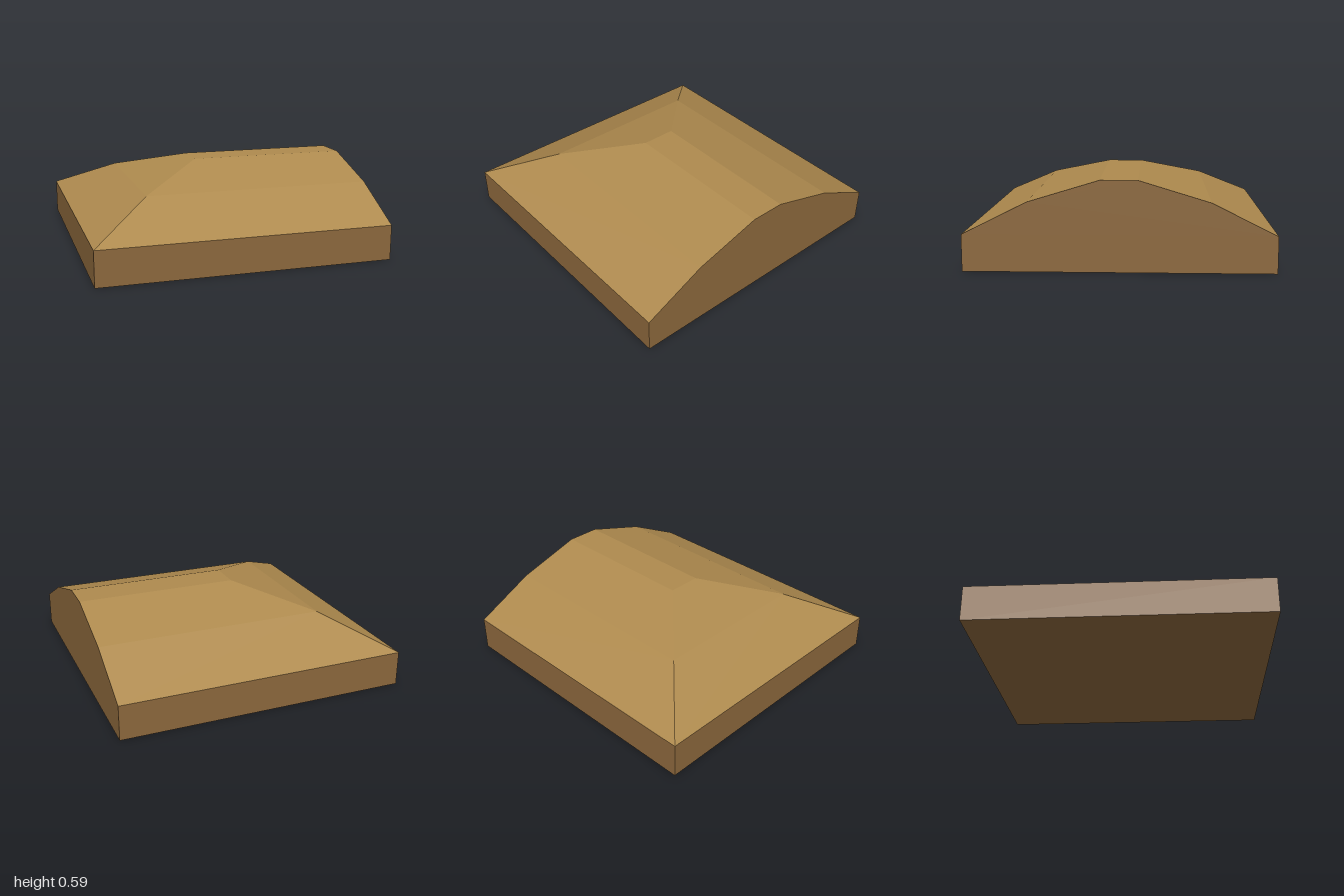
import * as THREE from 'three';

// Roof cross-section: [half width, height], from eave to flat ridge
const PROFILE = [[1, 0.24], [0.58, 0.45], [0.12, 0.59]];

// Non-indexed geometry from quads given counter-clockwise
function quadGeometry(quads) {
  const positions = quads.flatMap(([a, b, c, d]) => [a, b, c, a, c, d].flat());
  const geometry = new THREE.BufferGeometry();
  geometry.setAttribute('position', new THREE.Float32BufferAttribute(positions, 3));
  geometry.computeVertexNormals();
  return geometry;
}

export function createModel() {
  const model = new THREE.Group();
  model.name = 'hippedRoofBlock';

  const roofMaterial = new THREE.MeshStandardMaterial({ color: 0xae8a4e });
  roofMaterial.name = 'tan roof';
  const wallMaterial = new THREE.MeshStandardMaterial({ color: 0x8b673c });
  wallMaterial.name = 'brown wall';

  const add = (name, geometry, material) => {
    const mesh = new THREE.Mesh(geometry, material);
    mesh.name = name;
    model.add(mesh);
    return mesh;
  };

  // Square base slab
  const eave = PROFILE[0][1];
  add('base', new THREE.BoxGeometry(2, eave, 2), wallMaterial).position.y = eave / 2;

  // Roof slopes on three sides, mitred at the two hips, with a flat ridge
  const rings = PROFILE.map(([r, y]) => [[1, y, r], [-r, y, r], [-r, y, -r], [1, y, -r]]);
  const quads = [];
  for (let k = 0; k < rings.length - 1; k++) {
    const low = rings[k], high = rings[k + 1];
    for (let i = 0; i < 3; i++) quads.push([low[i + 1], low[i], high[i], high[i + 1]]);
  }
  quads.push([...rings[rings.length - 1]].reverse());
  add('roof', quadGeometry(quads), roofMaterial);

  // Upright gable closing the open end
  const outline = [...PROFILE, ...PROFILE.map(([r, y]) => [-r, y]).reverse()];
  const gableShape = new THREE.Shape(outline.map(([r, y]) => new THREE.Vector2(r, y)));
  const gable = add('gable', new THREE.ShapeGeometry(gableShape), wallMaterial);
  gable.rotation.y = Math.PI / 2;
  gable.position.x = 1;

  return model;
}
